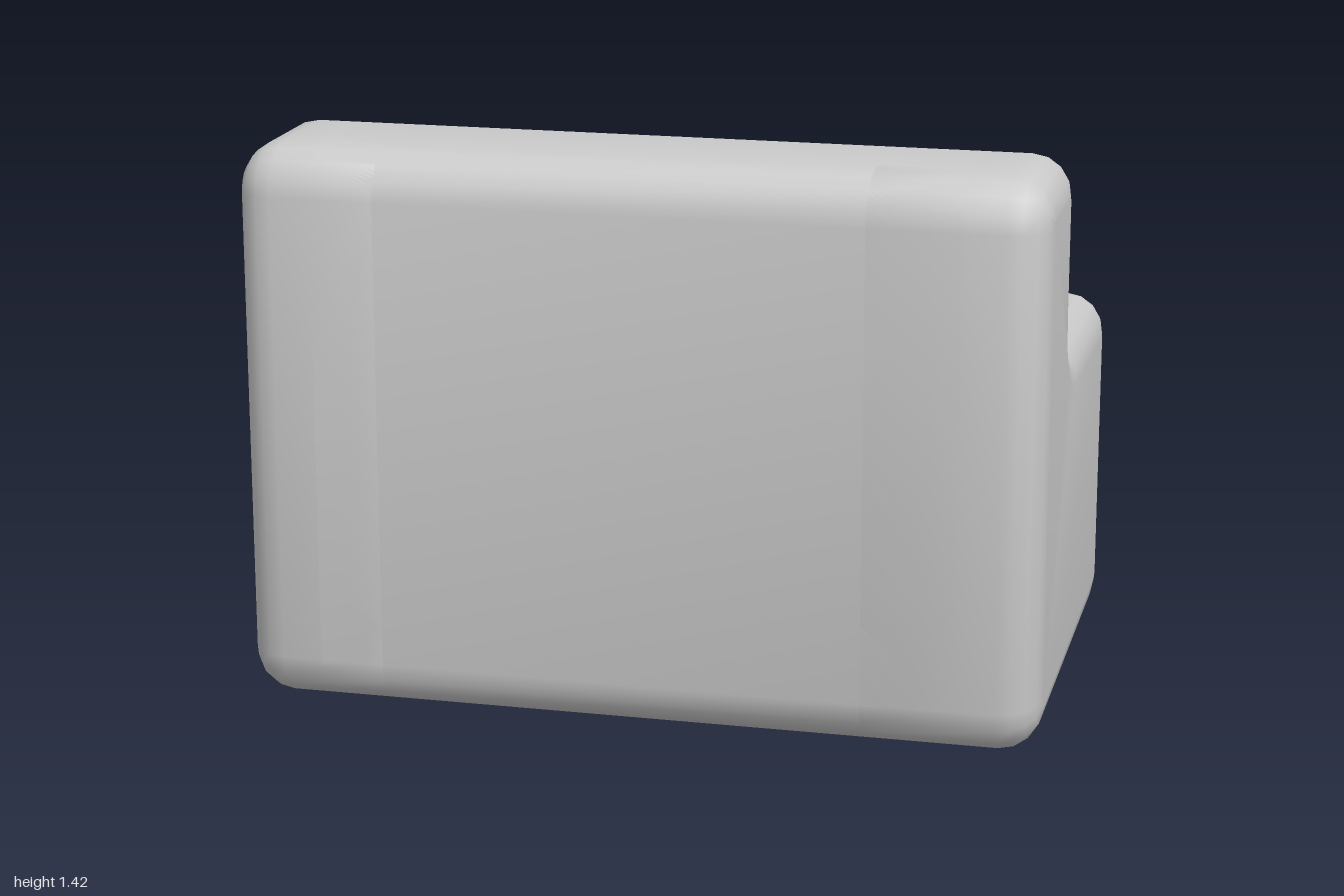
import * as THREE from 'three';
import { toCreasedNormals } from 'three/addons/utils/BufferGeometryUtils.js';

const K = 0.5523; // handle length that makes a Bezier quarter circle

// Closed outline through the points [x, y, cornerRadius], each corner rounded
function roundedOutline(points) {
  const shape = new THREE.Shape();
  const n = points.length;
  points.forEach(([x, y, r], i) => {
    const p = new THREE.Vector2(x, y);
    const toPrev = new THREE.Vector2(...points[(i + n - 1) % n]).sub(p).normalize();
    const toNext = new THREE.Vector2(...points[(i + 1) % n]).sub(p).normalize();
    const at = (dir, d) => p.clone().addScaledVector(dir, d);
    const a = at(toPrev, r), b = at(toNext, r);
    const c1 = at(toPrev, r * (1 - K)), c2 = at(toNext, r * (1 - K));
    if (i === 0) shape.moveTo(a.x, a.y);
    else shape.lineTo(a.x, a.y);
    shape.bezierCurveTo(c1.x, c1.y, c2.x, c2.y, b.x, b.y);
  });
  shape.closePath();
  return shape;
}

// Side profile: tall back at +z, lower seat or arm reaching forward to -z
function sideProfile(height) {
  const r = 0.12;
  return roundedOutline([
    [-0.63, 0, r], [0.63, 0, r], [0.63, height, r],
    [-0.13, height, r], [-0.13, 1.42, r], [-0.63, 1.42, r],
  ]);
}

// Profile swept along x from x0 to x1, with optionally rounded ends
function sweep(shape, x0, x1, bevel) {
  const geo = new THREE.ExtrudeGeometry(shape, {
    depth: x1 - x0 - 2 * bevel,
    curveSegments: 4,
    bevelEnabled: bevel > 0,
    bevelThickness: bevel,
    bevelSize: bevel,
    bevelOffset: -bevel,
    bevelSegments: 4,
  });
  geo.translate(0, 0, x0 + bevel);
  geo.rotateY(Math.PI / 2);
  return geo;
}

export function createModel() {
  const group = new THREE.Group();
  const material = new THREE.MeshStandardMaterial({ color: 0xcccccc });
  const add = (name, geo) => {
    const mesh = new THREE.Mesh(toCreasedNormals(geo, 0.7), material);
    mesh.name = name;
    group.add(mesh);
  };

  // Armrests, each running up into its end of the backrest
  const arm = (name, side, inner) => {
    const bevel = 0.1;
    const geo = sweep(sideProfile(0.89), Math.min(side, inner), Math.max(side, inner), bevel);
    // tighter rounding on the inner edge than on the outer one
    const pos = geo.attributes.position;
    for (let i = 0; i < pos.count; i++) {
      const d = Math.abs(pos.getX(i) - inner);
      if (d < bevel + 1e-4) pos.setX(i, inner + side * d * 0.5);
    }
    add(name, geo);
  };
  arm('leftArm', 1, 0.52);
  arm('rightArm', -1, -0.59);

  // Middle: seat base and backrest, ends buried in the arms
  add('seatBaseAndBackrest', sweep(sideProfile(0.47), -0.8, 0.8, 0));

  // Seat cushion, its rounded front just proud of the base
  const cushion = roundedOutline([
    [-0.2, 0.39, 0.02], [0.634, 0.39, 0.09], [0.634, 0.58, 0.09], [-0.2, 0.55, 0.02],
  ]);
  add('seatCushion', sweep(cushion, -0.63, 0.56, 0.02));

  return group;
}
